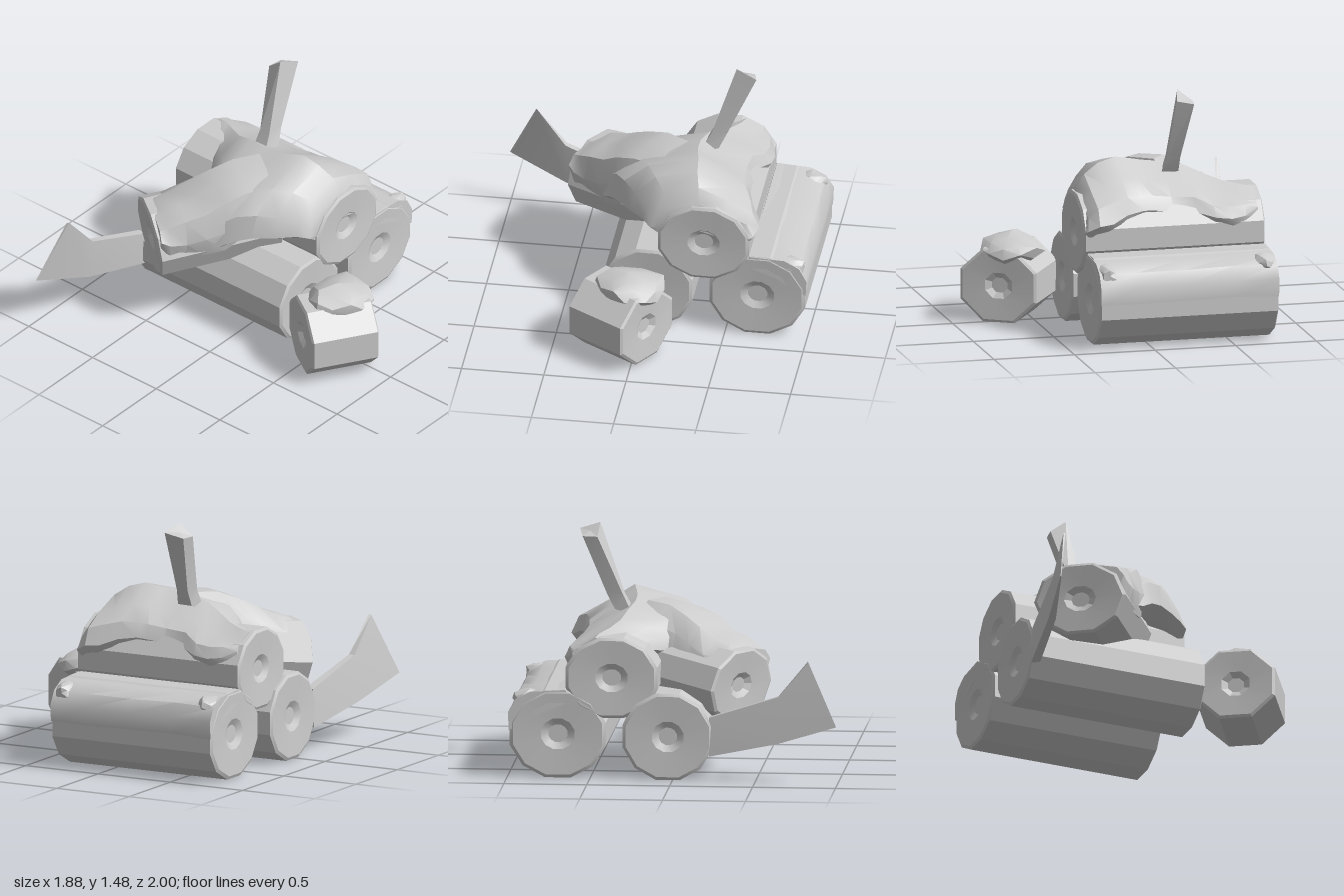
import * as THREE from 'three';
import { toCreasedNormals } from 'three/addons/utils/BufferGeometryUtils.js';

const grey = new THREE.MeshStandardMaterial({ color: 0xcccccc });
grey.name = 'pale grey';

// Repeatable offset between -1 and 1
const jitter = (i, j) => {
  const s = Math.sin(i * 12.9898 + j * 78.233) * 43758.5453;
  return (s - Math.floor(s)) * 2 - 1;
};
const mix = (a, b, t) => a + (b - a) * t;

// Closed skin through equal-length loops of [x, y, z] points, turned outward
function loft(loops, crease) {
  const tris = [];
  const n = loops[0].length;
  for (let i = 0; i < loops.length - 1; i++) {
    for (let j = 0; j < n; j++) {
      const k = (j + 1) % n;
      const [a, b, c, d] = [loops[i][j], loops[i][k], loops[i + 1][k], loops[i + 1][j]];
      tris.push([a, b, c], [a, c, d]);
    }
  }
  const centre = (l) => [0, 1, 2].map((q) => l.reduce((s, p) => s + p[q], 0) / n);
  const first = loops[0], last = loops[loops.length - 1];
  const c0 = centre(first), c1 = centre(last);
  for (let j = 0; j < n; j++) {
    const k = (j + 1) % n;
    tris.push([c0, first[k], first[j]], [c1, last[j], last[k]]);
  }
  let volume = 0;
  const v = (p) => new THREE.Vector3(...p);
  for (const [a, b, c] of tris) volume += v(a).dot(v(b).cross(v(c)));
  if (volume < 0) tris.forEach((t) => t.reverse());
  const g = new THREE.BufferGeometry();
  g.setAttribute('position', new THREE.Float32BufferAttribute(tris.flat(2), 3));
  return toCreasedNormals(g, crease);
}

function addPart(group, name, geometry) {
  const mesh = new THREE.Mesh(geometry, grey);
  mesh.name = name;
  group.add(mesh);
  return mesh;
}

// Faceted log between two points, with half width, half height and a hollowed heart in each end
function addLog(group, name, from, to, wide, high, sides) {
  const a = new THREE.Vector3(...from), b = new THREE.Vector3(...to);
  const h = a.distanceTo(b) / 2;
  const half = [[0.0001, h - 0.03], [0.2, h - 0.03], [0.35, h - 0.008], [0.93, h], [1, h - 0.01]];
  const profile = [...half.map(([r, y]) => new THREE.Vector2(r, -y)),
    ...half.slice().reverse().map(([r, y]) => new THREE.Vector2(r, y))];
  const g = new THREE.LatheGeometry(profile, sides);
  g.rotateY(Math.PI / sides);
  g.rotateX(Math.PI / 2);
  g.scale(wide, high, 1);
  const mesh = addPart(group, name, toCreasedNormals(g, 0.3));
  mesh.position.copy(a).add(b).multiplyScalar(0.5);
  const d = b.sub(a);
  mesh.rotation.set(-Math.atan2(d.y, Math.hypot(d.x, d.z)), Math.atan2(d.x, d.z), 0, 'YXZ');
}

// Lumpy little mound
function addMound(group, name, centre, size, seed) {
  const g = new THREE.IcosahedronGeometry(1, 1);
  const p = g.attributes.position;
  for (let i = 0; i < p.count; i++) {
    const x = p.getX(i), y = p.getY(i), z = p.getZ(i);
    const k = 1 + 0.14 * jitter(Math.round(x * 50) + seed, Math.round(y * 50) + Math.round(z * 50) * 3);
    p.setXYZ(i, x * k * size[0], y * k * size[1], z * k * size[2]);
  }
  addPart(group, name, toCreasedNormals(g, 0.5)).position.set(...centre);
}

export function createModel() {
  const group = new THREE.Group();
  group.name = 'snowyLogPile';

  // Logs
  addLog(group, 'backLog', [-0.775, 0.275, -0.695], [0.335, 0.275, -0.695], 0.3, 0.275, 12);
  addLog(group, 'frontLog', [-0.8, 0.27, -0.03], [0.338, 0.27, -0.03], 0.28, 0.272, 12);
  addLog(group, 'topLog', [-0.775, 0.62, -0.37], [0.35, 0.62, -0.37], 0.287, 0.252, 12);
  addLog(group, 'leaningLog', [-0.12, 0.63, -0.22], [-0.56, 0.55, 0.4], 0.282, 0.232, 10);
  addLog(group, 'shortLog', [0.741, 0.243, -0.09], [0.517, 0.243, 0.267], 0.26, 0.243, 8);

  // Snow over the top log: x, front z, front y, ridge z, ridge y, back z, back y
  const stations = [
    [0.34, -0.07, 0.66, -0.34, 0.83, -0.65, 0.67],
    [0.325, -0.04, 0.66, -0.34, 0.88, -0.67, 0.69],
    [0.27, 0.01, 0.67, -0.33, 0.96, -0.7, 0.72],
    [0.18, 0.1, 0.67, -0.31, 1.02, -0.68, 0.73],
    [0.07, 0.19, 0.68, -0.3, 1.05, -0.63, 0.76],
    [-0.03, 0.26, 0.65, -0.28, 1.03, -0.6, 0.77],
    [-0.1, 0.3, 0.59, -0.27, 1.015, -0.6, 0.77],
    [-0.22, 0.34, 0.57, -0.27, 1.0, -0.59, 0.77],
    [-0.36, 0.12, 0.7, -0.3, 0.975, -0.6, 0.76],
    [-0.47, -0.06, 0.72, -0.34, 0.925, -0.66, 0.72],
    [-0.57, -0.2, 0.74, -0.4, 0.89, -0.67, 0.72],
    [-0.66, -0.3, 0.76, -0.45, 0.875, -0.65, 0.72],
    [-0.74, -0.36, 0.8, -0.47, 0.86, -0.61, 0.76],
  ];
  const mainLoops = stations.map(([x, zf, yf, zr, yr, zb, yb], i) => {
    const pt = (z, y, j) => [x + 0.008 * jitter(i, j), y + 0.012 * jitter(i, j + 9), z];
    return [
      pt(mix(zf, zr, 0.25), yf - 0.01, 0), pt(zf, yf + 0.03, 1),
      pt(mix(zf, zr, 0.08), mix(yf, yr, 0.45), 2), pt(mix(zf, zr, 0.38), mix(yf, yr, 0.8), 3),
      [x, yr, zr],
      pt(mix(zr, zb, 0.5), mix(yr, yb, 0.35), 4), pt(mix(zr, zb, 0.88), mix(yr, yb, 0.65), 5),
      pt(zb, yb, 6), pt(mix(zb, zr, 0.1), yb - 0.06, 7), [x, Math.max(yf, yb) + 0.03, zr],
    ];
  });
  addPart(group, 'topSnow', loft(mainLoops, 0.6));

  // Snow sliding down the leaning log: distance from its end, left, right, side y, crest y
  const slide = [
    [0.008, -0.2, 0.26, 0.63, 0.765], [0.06, -0.2, 0.28, 0.57, 0.79],
    [0.16, -0.21, 0.29, 0.56, 0.83], [0.28, -0.21, 0.305, 0.57, 0.885],
    [0.4, -0.2, 0.31, 0.6, 0.945], [0.53, -0.22, 0.3, 0.66, 0.985],
    [0.7, -0.2, 0.26, 0.7, 0.995],
  ];
  const slideLoops = slide.map(([t, l, r, ys, yc], i) => {
    const pt = (u, y, j) => {
      const w = u + 0.012 * jitter(i + 20, j);
      return [-0.56 + 0.579 * t + 0.815 * w, y + 0.01 * jitter(i + 30, j), 0.4 - 0.815 * t + 0.579 * w];
    };
    return [pt(l, Math.max(ys, 0.65), 0), pt(l * 0.8, mix(ys, yc, 0.7), 1), pt(l * 0.25, yc, 2),
      pt(r * 0.4, yc - 0.005, 3), pt(r * 0.84, mix(ys, yc, 0.84), 4), pt(r, mix(ys, yc, 0.35), 5),
      pt(r * 0.92, ys - 0.02, 6), pt(0, Math.max(ys, 0.66), 7)];
  });
  addPart(group, 'leaningLogSnow', loft(slideLoops, 0.6));

  // Thin snow lying flat along the back log
  const backSection = [[-0.6, 0.48], [-0.65, 0.54], [-0.86, 0.53], [-0.95, 0.485], [-0.995, 0.4], [-0.99, 0.3], [-0.8, 0.4]];
  const backLoops = [-0.772, -0.5, -0.2, 0.1, 0.332].map((x, i) =>
    backSection.map(([z, y], j) => [x, y + 0.007 * jitter(i + 40, j), z]));
  addPart(group, 'backLogSnow', loft(backLoops, 0.6));

  // Smaller mounds of snow
  addMound(group, 'shortLogSnow', [0.625, 0.445, 0.04], [0.19, 0.105, 0.22], 3);
  addMound(group, 'backLeftSnow', [-0.7, 0.48, -0.87], [0.07, 0.06, 0.1], 11);
  addMound(group, 'backRightSnow', [0.27, 0.47, -0.88], [0.07, 0.06, 0.1], 17);

  // Square stick standing in the snow
  addPart(group, 'stick', loft([
    [[-0.32, 0.93, -0.28], [-0.22, 0.93, -0.27], [-0.2, 0.96, -0.38], [-0.3, 0.96, -0.39]],
    [[-0.31, 1.05, -0.34], [-0.235, 1.05, -0.335], [-0.22, 1.06, -0.43], [-0.3, 1.06, -0.44]],
    [[-0.365, 1.41, -0.49], [-0.27, 1.485, -0.48], [-0.235, 1.44, -0.605], [-0.35, 1.41, -0.58]],
  ], 0.2));

  // Flared wedge at the left front, its narrow end tucked against the logs
  addPart(group, 'wedge', loft([
    [[-0.8, 0.155, 0.22], [-0.74, 0.17, 0.22], [-0.735, 0.39, 0.22], [-0.79, 0.39, 0.22]],
    [[-0.87, 0.25, 0.64], [-0.82, 0.26, 0.64], [-0.8, 0.53, 0.64], [-0.84, 0.53, 0.64]],
    [[-0.945, 0.37, 1.0], [-0.935, 0.37, 0.99], [-0.835, 0.75, 0.82], [-0.85, 0.745, 0.825]],
  ], 0.2));

  return group;
}
